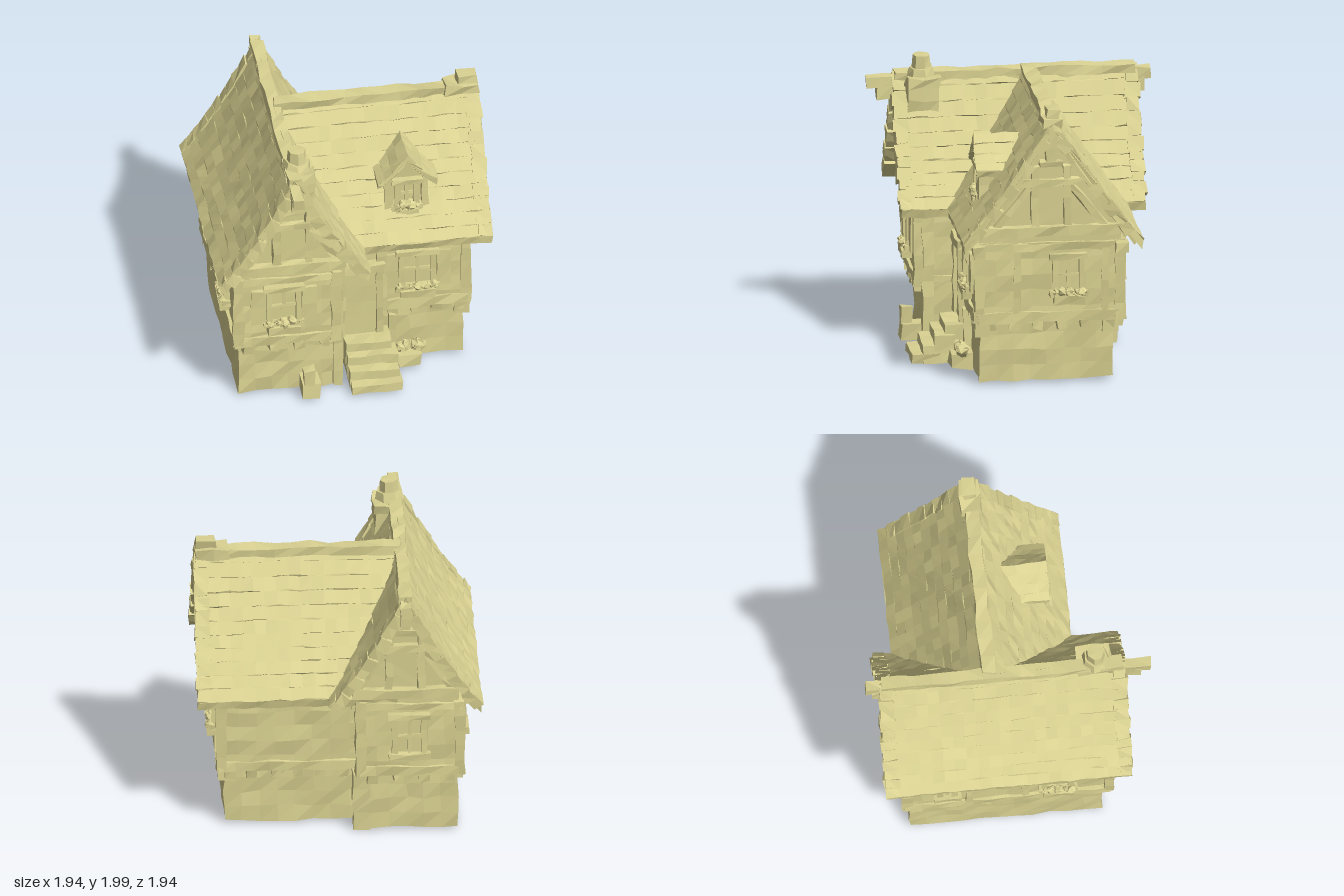
import * as THREE from 'three';

const material = new THREE.MeshStandardMaterial({ color: 0xdad292, flatShading: true, side: THREE.DoubleSide });

// repeatable noise from a position, so shared corners move together
function noise(x, y, z, k) {
  const s = Math.sin(Math.round(x * 500) * 12.99 + Math.round(y * 500) * 78.23 + Math.round(z * 500) * 37.72 + k * 4.1) * 43758.55;
  return (s - Math.floor(s)) * 2 - 1;
}
function rough(geo, amount) {
  const p = geo.attributes.position;
  for (let i = 0; i < p.count; i++) {
    const x = p.getX(i), y = p.getY(i), z = p.getZ(i);
    p.setXYZ(i, x + amount * noise(x, y, z, 1), y + amount * noise(x, y, z, 2), z + amount * noise(x, y, z, 3));
  }
  geo.computeVertexNormals();
  return geo;
}
function add(parent, name, geo, amount = 0.008) {
  const mesh = new THREE.Mesh(rough(geo, amount), material);
  mesh.name = name;
  parent.add(mesh);
}
// hewn block given by its limits, optionally turned about its own z axis
function block(parent, name, x0, x1, y0, y1, z0, z1, amount = 0.008, turn = 0) {
  const size = [x1 - x0, y1 - y0, z1 - z0];
  const geo = new THREE.BoxGeometry(...size, ...size.map(s => Math.max(1, Math.round(s / 0.12))));
  geo.rotateZ(turn).translate((x0 + x1) / 2, (y0 + y1) / 2, (z0 + z1) / 2);
  add(parent, name, geo, amount);
}
// beam between two points of a wall that faces +z
function beam(parent, name, ax, ay, bx, by, thick, z0, z1) {
  const len = Math.hypot(bx - ax, by - ay), cx = (ax + bx) / 2, cy = (ay + by) / 2;
  block(parent, name, cx - len / 2, cx + len / 2, cy - thick / 2, cy + thick / 2, z0, z1, 0.008, Math.atan2(by - ay, bx - ax));
}
function place(parent, name, x, y, z, turnY = 0) {
  const g = new THREE.Group();
  g.name = name;
  g.position.set(x, y, z);
  g.rotation.y = turnY;
  parent.add(g);
  return g;
}

// sagging slope from ridge (t = 0) to eave (t = 1)
function slope(r, t) {
  return [r.half * t, r.ridge - (r.ridge - r.eave) * t - r.sag * Math.sin(Math.PI * t)];
}
// shingled roof along z, stepped in shallow courses
function roof(parent, r, z0, z1) {
  const side = [];
  for (let i = 0; i < r.courses; i++) {
    const a = slope(r, i / r.courses), b = slope(r, (i + 1) / r.courses);
    side.push(a, [b[0] + 0.003, b[1] + 0.006]);
  }
  side.push(slope(r, 1));
  const under = [];
  for (let i = 6; i >= 0; i--) {
    const p = slope(r, i / 6);
    under.push([p[0] * 0.98, p[1] - r.thick]);
  }
  const left = [...under.slice(0, -1).reverse(), ...side.slice(1).reverse()].map(p => [-p[0], p[1]]);
  const shape = new THREE.Shape([...side, ...under, ...left].map(p => new THREE.Vector2(...p)));
  const geo = new THREE.ExtrudeGeometry(shape, { depth: z1 - z0, steps: Math.ceil((z1 - z0) / 0.08), bevelEnabled: false });
  add(parent, 'roof', geo.translate(0, 0, z0), 0.007);
}
// attic wall filling the space under a roof
function attic(parent, r, wallHalf, z0, z1) {
  const pts = [];
  for (let i = 0; i <= 8; i++) {
    const p = slope(r, i / 8 * wallHalf / r.half);
    pts.push([p[0], p[1] - 0.04]);
  }
  pts.push([wallHalf, 0.93]);
  const all = [...pts, ...pts.slice(1).reverse().map(p => [-p[0], p[1]])];
  const shape = new THREE.Shape(all.map(p => new THREE.Vector2(...p)));
  add(parent, 'atticWall', new THREE.ExtrudeGeometry(shape, { depth: z1 - z0, bevelEnabled: false }).translate(0, 0, z0), 0.004);
}
// timbers and edge stones of a gable whose wall is at z, under a roof that ends at edge
function gableTrim(parent, r, wallHalf, z, edge) {
  block(parent, 'tieBeam', -wallHalf, wallHalf, 1.05, 1.12, z, z + 0.06);
  block(parent, 'collarBeam', -r.half * 0.42, r.half * 0.42, 1.4, 1.45, z, z + 0.05);
  for (const s of [-1, 1]) {
    block(parent, 'gablePost', s * 0.11 - 0.025, s * 0.11 + 0.025, 1.1, 1.54, z, z + 0.04);
    beam(parent, 'gableBrace', s * r.half * 0.62, 1.1, s * 0.13, 1.4, 0.045, z, z + 0.035);
    for (let i = 0; i < 11; i++) {
      const a = slope(r, i / 11.5), b = slope(r, (i + 1) / 11.5), d = (i % 2) * 0.01;
      beam(parent, 'edgeStone', s * a[0], a[1] - 0.045 - d, s * b[0], b[1] - 0.045 - d, 0.07 + d, edge - 0.08 - d, edge + 0.005 + d);
    }
  }
  block(parent, 'atticOpeningLintel', -0.08, 0.08, 1.54, 1.58, z, z + 0.07);
  block(parent, 'kingPost', -0.035, 0.035, 1.57, 1.76, z, z + 0.06);
}

// leaves, as faceted lumps
function plants(parent, x0, x1, y, z, size, count) {
  for (let i = 0; i < count; i++) {
    const geo = new THREE.IcosahedronGeometry(size * (0.8 + 0.35 * noise(i, x0, y, 5)), 1);
    geo.translate(x0 + (x1 - x0) * i / (count - 1), y + size * 0.5 * noise(i, x0, z, 6), z);
    add(parent, 'plants', geo, size * 0.3);
  }
}
// window facing +z with frame, bars, optional shutters and flower box
function windowUnit(parent, name, x, y, z, turnY, w, h, shutters, flowers) {
  const g = place(parent, name, x, y, z, turnY), a = w / 2, b = h / 2;
  block(g, 'pane', -a, a, -b, b, -0.03, 0.008, 0.002);
  for (const s of [-1, 1]) {
    block(g, 'jamb', s * a - 0.02, s * a + 0.02, -b - 0.02, b + 0.02, -0.02, 0.04, 0.005);
    if (shutters) block(g, 'shutter', s * (a + 0.07) - 0.05, s * (a + 0.07) + 0.05, -b - 0.02, b + 0.01, -0.02, 0.028, 0.007);
  }
  block(g, 'mullion', -0.012, 0.012, -b, b, -0.02, 0.025, 0.003);
  block(g, 'transom', -a, a, -0.01, 0.01, -0.02, 0.022, 0.003);
  block(g, 'lintel', -a - 0.04, a + 0.04, b, b + 0.04, -0.02, 0.05, 0.006);
  block(g, 'sill', -a - 0.04, a + 0.04, -b - 0.045, -b, -0.02, 0.055, 0.006);
  if (flowers) {
    block(g, 'flowerBox', -a - 0.01, a + 0.01, -b - 0.09, -b - 0.03, 0, 0.07, 0.008);
    plants(g, -a, a, -b, 0.045, 0.032, 5);
  }
}
// floor beam along local x with joist ends beneath it
function jetty(parent, x, z, turnY, len) {
  const g = place(parent, 'jetty', x, 0, z, turnY), n = Math.round(len / 0.16);
  block(g, 'floorBeam', -len / 2, len / 2, 0.44, 0.51, -0.06, 0.02);
  for (let i = 0; i < n; i++) {
    const c = -len / 2 + len * (i + 0.5) / n;
    block(g, 'joistEnd', c - 0.034, c + 0.034, 0.385, 0.46, -0.1, 0.008, 0.012);
  }
  block(g, 'eaveBeam', -len / 2, len / 2, 0.94, 0.99, -0.04, 0.016);
}

export function createModel() {
  const house = new THREE.Group();
  house.name = 'cottage';
  const R = Math.PI / 2;
  const wing = { half: 0.515, ridge: 1.865, eave: 1.035, sag: 0.05, thick: 0.06, courses: 10 };
  const hall = { half: 0.61, ridge: 1.885, eave: 1.035, sag: 0.025, thick: 0.06, courses: 11 };

  // stone ground floor and jettied upper floor
  block(house, 'wingBase', -0.81, -0.12, 0.02, 0.46, -0.70, 0.6, 0.01);
  block(house, 'hallBase', -0.2, 0.765, 0.02, 0.46, -0.56, 0.345, 0.01);
  block(house, 'wingUpperWall', -0.835, -0.14, 0.44, 1.0, -0.735, 0.66, 0.01);
  block(house, 'hallUpperWall', -0.2, 0.8, 0.44, 1.0, -0.62, 0.37, 0.01);
  jetty(house, -0.49, 0.66, 0, 0.7);
  jetty(house, -0.49, -0.735, Math.PI, 0.7);
  jetty(house, -0.835, -0.04, -R, 1.4);
  jetty(house, 0.51, 0.37, 0, 0.58);
  jetty(house, 0.345, -0.62, Math.PI, 0.92);
  jetty(house, 0.8, -0.125, R, 0.98);
  jetty(house, -0.14, 0.52, R, 0.28);

  // upright timbers on the upper floor
  for (const [x, z] of [[-0.82, 0.65], [-0.15, 0.65], [-0.82, -0.72], [-0.15, -0.72], [0.785, 0.355], [0.785, -0.605], [0.21, 0.365]])
    block(house, 'cornerPost', x - 0.035, x + 0.035, 0.44, 1.0, z - 0.035, z + 0.035);
  for (const z of [-0.5, 0.1]) block(house, 'wallStud', 0.79, 0.818, 0.5, 0.95, z - 0.022, z + 0.022);
  for (const z of [-0.3, 0.08]) block(house, 'wallStud', -0.853, -0.83, 0.5, 0.95, z - 0.022, z + 0.022);
  for (const z of [0.37, -0.61]) block(house, 'eaveCorbel', 0.8, 0.89, 0.93, 1.0, z - 0.04, z + 0.04);
  for (const [x, z] of [[0.74, 0.33], [0.74, -0.54]]) block(house, 'cornerBracket', x - 0.04, x + 0.07, 0.35, 0.45, z - 0.05, z + 0.05);
  block(house, 'backCornerPost', -0.22, -0.1, 0, 0.42, -0.7, -0.55);
  block(house, 'frontCornerPost', -0.16, -0.1, 0.02, 0.94, 0.55, 0.63);

  // side wing: roof along z with gables at both ends
  const wingTop = place(house, 'wingRoof', -0.45, 0, 0);
  roof(wingTop, wing, -0.87, 0.79);
  attic(wingTop, wing, 0.36, -0.73, 0.66);
  gableTrim(wingTop, wing, 0.36, 0.66, 0.79);
  gableTrim(place(wingTop, 'backGable', 0, 0, 0, Math.PI), wing, 0.36, 0.73, 0.87);
  block(wingTop, 'ridgeBeam', -0.035, 0.035, 1.76, 1.84, -0.97, 0.97);
  block(wingTop, 'ridgeCap', -0.045, 0.045, 1.81, 1.87, -0.86, 0.78, 0.009);
  for (const [a, b] of [[0.78, 0.9], [-0.92, -0.85]]) block(wingTop, 'ridgeBracket', -0.035, 0.035, 1.68, 1.78, a, b);

  // main hall: roof along x with a gable on the left end
  const hallTop = place(house, 'hallRoof', 0, 0, -0.13, R);
  roof(hallTop, hall, -0.4, 0.95);
  attic(hallTop, hall, 0.48, -0.35, 0.79);
  gableTrim(hallTop, hall, 0.47, 0.79, 0.94);
  block(hallTop, 'ridgeCap', -0.045, 0.045, 1.83, 1.895, -0.45, 0.9, 0.01);
  block(hallTop, 'ridgeEndStone', -0.07, 0.07, 1.83, 1.91, 0.72, 0.94, 0.014);
  block(hallTop, 'ridgeEndCap', -0.045, 0.045, 1.9, 1.96, 0.8, 0.94, 0.01);

  // chimney on the wing ridge
  const chimney = place(house, 'chimney', -0.4, 0, 0.6);
  block(chimney, 'stack', -0.09, 0.09, 1.56, 1.82, -0.1, 0.1, 0.014);
  block(chimney, 'shoulder', -0.095, 0.1, 1.78, 1.85, -0.12, 0.11, 0.014);
  add(chimney, 'collar', new THREE.CylinderGeometry(0.08, 0.1, 0.06, 7).translate(-0.01, 1.88, 0));
  add(chimney, 'pot', new THREE.CylinderGeometry(0.06, 0.065, 0.1, 7).translate(-0.01, 1.94, 0), 0.005);

  // dormer
  const dormer = place(house, 'dormer', 0.39, 0, 0);
  const dormerRoof = { half: 0.205, ridge: 1.66, eave: 1.45, sag: 0.015, thick: 0.04, courses: 4 };
  block(dormer, 'dormerBody', -0.13, 0.13, 1.2, 1.46, 0, 0.3);
  const front = new THREE.Shape([[-0.14, 1.44], [0.14, 1.44], [0, 1.63]].map(p => new THREE.Vector2(...p)));
  add(dormer, 'dormerGable', new THREE.ExtrudeGeometry(front, { depth: 0.26, bevelEnabled: false }).translate(0, 0, 0.04));
  roof(dormer, dormerRoof, 0.0, 0.35);
  for (const s of [-1, 1]) block(dormer, 'dormerPost', s * 0.125 - 0.025, s * 0.125 + 0.025, 1.2, 1.47, 0.26, 0.325);
  windowUnit(dormer, 'dormerWindow', 0, 1.34, 0.29, 0, 0.13, 0.17, false, true);

  // windows
  windowUnit(house, 'wingFrontWindow', -0.51, 0.77, 0.66, 0, 0.2, 0.24, true, true);
  windowUnit(house, 'hallFrontWindow', 0.45, 0.76, 0.37, 0, 0.22, 0.24, true, true);
  windowUnit(house, 'leftSideWindow', 0.8, 0.77, -0.25, R, 0.18, 0.22, false, true);
  windowUnit(house, 'rightSideWindow', -0.835, 0.77, 0.3, -R, 0.18, 0.22, false, true);
  windowUnit(house, 'rightSmallWindow', -0.835, 0.78, -0.45, -R, 0.1, 0.2, false, false);
  windowUnit(house, 'wingBackWindow', -0.48, 0.75, -0.735, Math.PI, 0.2, 0.26, false, false);

  // door with its frame and steps
  block(house, 'doorSurround', -0.1, 0.21, 0.02, 0.84, 0.3, 0.385);
  block(house, 'door', -0.05, 0.17, 0.27, 0.79, 0.38, 0.4, 0.003);
  for (const x of [-0.075, 0.19]) block(house, 'doorPost', x - 0.025, x + 0.025, 0.27, 0.82, 0.37, 0.425);
  block(house, 'doorLintel', -0.1, 0.22, 0.79, 0.85, 0.37, 0.435);
  block(house, 'landing', -0.06, 0.25, 0.02, 0.27, 0.3, 0.52);
  for (let i = 0; i < 3; i++)
    block(house, 'step', -0.055, 0.29, 0.02, 0.21 - i * 0.065, 0.45, 0.59 + i * 0.08, 0.007);

  // garden pieces
  block(house, 'stonePost', -0.39, -0.27, 0.02, 0.13, 0.6, 0.75);
  block(house, 'stonePostTop', -0.38, -0.31, 0.12, 0.24, 0.67, 0.75);
  block(house, 'stepPost', 0.25, 0.3, 0.02, 0.4, 0.34, 0.4);
  block(house, 'planter', 0.3, 0.46, 0.02, 0.12, 0.35, 0.5, 0.012);
  plants(house, 0.33, 0.45, 0.15, 0.43, 0.05, 4);
  return house;
}
